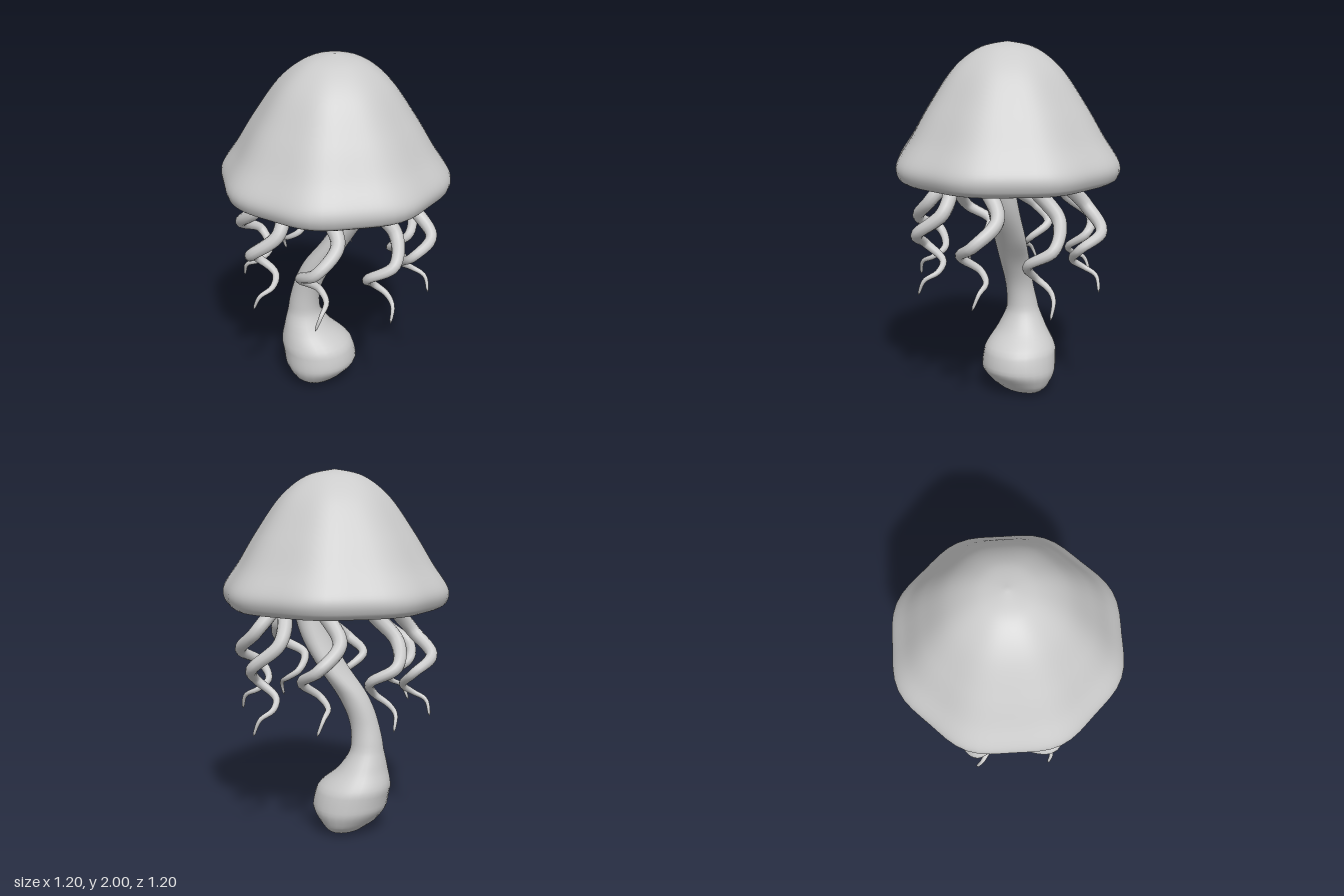
import * as THREE from 'three';
import { mergeVertices } from 'three/addons/utils/BufferGeometryUtils.js';

const material = new THREE.MeshStandardMaterial({ color: 0xcccccc, side: THREE.DoubleSide });

function smooth(geometry) {
  geometry.deleteAttribute('uv');
  geometry.deleteAttribute('normal');
  const merged = mergeVertices(geometry, 1e-4);
  merged.computeVertexNormals();
  return merged;
}

function makeMesh(name, geometry) {
  const mesh = new THREE.Mesh(geometry, material);
  mesh.name = name;
  return mesh;
}

// Hollow cap: a turned profile with a softly eight-sided outline
function capGeometry() {
  const curve = (pts) => new THREE.SplineCurve(pts.map(([r, y]) => new THREE.Vector2(r, y)));
  const under = curve([[0, 1.42], [0.2, 1.41], [0.42, 1.36], [0.475, 1.315], [0.51, 1.272], [0.55, 1.264]]);
  const dome = curve([[0.55, 1.264], [0.588, 1.295], [0.594, 1.37], [0.515, 1.5], [0.42, 1.665],
    [0.29, 1.855], [0.15, 1.965], [0, 2]]);
  const profile = [...under.getPoints(24), ...dome.getPoints(48).slice(1)];
  profile[0].x = profile[profile.length - 1].x = 0;
  const geometry = new THREE.LatheGeometry(profile, 64);
  const p = geometry.attributes.position;
  for (let i = 0; i < p.count; i++) {
    const x = p.getX(i), z = p.getZ(i);
    const fade = Math.min(1, Math.hypot(x, z) / 0.59);
    const k = 1 + 0.02 * fade * (1 - Math.cos(8 * Math.atan2(z, x)));
    p.setX(i, x * k);
    p.setZ(i, z * k);
  }
  return smooth(geometry);
}

// Leaning stem with a bulbous foot: elliptical sections, rows are [y, xMin, xMax, zMin, zMax]
function stemGeometry() {
  const rows = [
    [0, -0.15, -0.05, -0.08, 0.06], [0.015, -0.18, -0.01, -0.15, 0.12], [0.06, -0.24, 0.04, -0.195, 0.185],
    [0.15, -0.305, 0.105, -0.215, 0.22], [0.25, -0.325, 0.085, -0.195, 0.215], [0.36, -0.3, -0.03, -0.11, 0.18],
    [0.47, -0.275, -0.09, -0.045, 0.14], [0.62, -0.24, -0.075, -0.025, 0.128], [0.76, -0.185, -0.015, -0.05, 0.115],
    [0.93, -0.07, 0.075, -0.12, 0.08], [1.1, 0.015, 0.165, -0.15, 0.04], [1.25, 0.055, 0.21, -0.155, 0.03],
    [1.44, 0.07, 0.23, -0.16, 0.03],
  ];
  const centre = new THREE.CatmullRomCurve3(rows.map(([y, a, b, c, d]) => new THREE.Vector3((a + b) / 2, y, (c + d) / 2)));
  const radius = new THREE.CatmullRomCurve3(rows.map(([, a, b, c, d]) => new THREE.Vector3((b - a) / 2, 0, (d - c) / 2)));
  const steps = 60, sides = 28, pos = [], index = [];
  for (let i = 0; i <= steps; i++) {
    const c = centre.getPoint(i / steps), r = radius.getPoint(i / steps);
    for (let j = 0; j < sides; j++) {
      const a = (j / sides) * Math.PI * 2;
      pos.push(c.x + r.x * Math.cos(a), c.y, c.z + r.z * Math.sin(a));
      if (i === steps) continue;
      const q = i * sides + j, n = i * sides + (j + 1) % sides;
      index.push(q, q + sides, n, n, q + sides, n + sides);
    }
  }
  // closed sole
  const base = pos.length / 3;
  pos.push(-0.1, 0, -0.01);
  for (let j = 0; j < sides; j++) index.push(base, j, (j + 1) % sides);
  const geometry = new THREE.BufferGeometry();
  geometry.setAttribute('position', new THREE.Float32BufferAttribute(pos, 3));
  geometry.setIndex(index);
  geometry.computeVertexNormals();
  return geometry;
}

// Corkscrew tentacle tapering to a fine tip; points are [sideways, y, outward]
function tentacleGeometry(stretch) {
  const points = [
    [-0.06, 1.39, 0.4], [0, 1.27, 0.335], [0.1, 1.12, 0.42], [0.01, 1.0, 0.535], [-0.095, 0.92, 0.45],
    [-0.01, 0.835, 0.38], [0.04, 0.785, 0.43], [0.03, 0.745, 0.505], [0, 0.66, 0.53],
  ].map(([x, y, z]) => new THREE.Vector3(x, 1.3 + (y - 1.3) * stretch, z));
  const path = new THREE.CatmullRomCurve3(points);
  const steps = 56, sides = 10;
  const geometry = new THREE.TubeGeometry(path, steps, 1, sides);
  const p = geometry.attributes.position, v = new THREE.Vector3();
  for (let i = 0; i <= steps; i++) {
    const t = i / steps, c = path.getPointAt(t);
    const r = i === steps ? 0.001 : 0.037 * (1 - t ** 1.6) + 0.007;
    for (let j = 0; j <= sides; j++) {
      const n = i * (sides + 1) + j;
      v.fromBufferAttribute(p, n).sub(c).multiplyScalar(r).add(c);
      p.setXYZ(n, v.x, v.y, v.z);
    }
  }
  return smooth(geometry);
}

export function createModel() {
  const model = new THREE.Group();
  model.name = 'mushroom';
  model.add(makeMesh('cap', capGeometry()), makeMesh('stem', stemGeometry()));

  // Ring of eight tentacles, one a little longer
  const tentacles = new THREE.Group();
  tentacles.name = 'tentacles';
  const regular = tentacleGeometry(1), long = tentacleGeometry(1.09);
  for (let k = 0; k < 8; k++) {
    const tentacle = makeMesh('tentacle', k === 3 ? long : regular);
    tentacle.rotation.y = (k + 0.5) * Math.PI / 4;
    tentacles.add(tentacle);
  }
  model.add(tentacles);
  return model;
}
